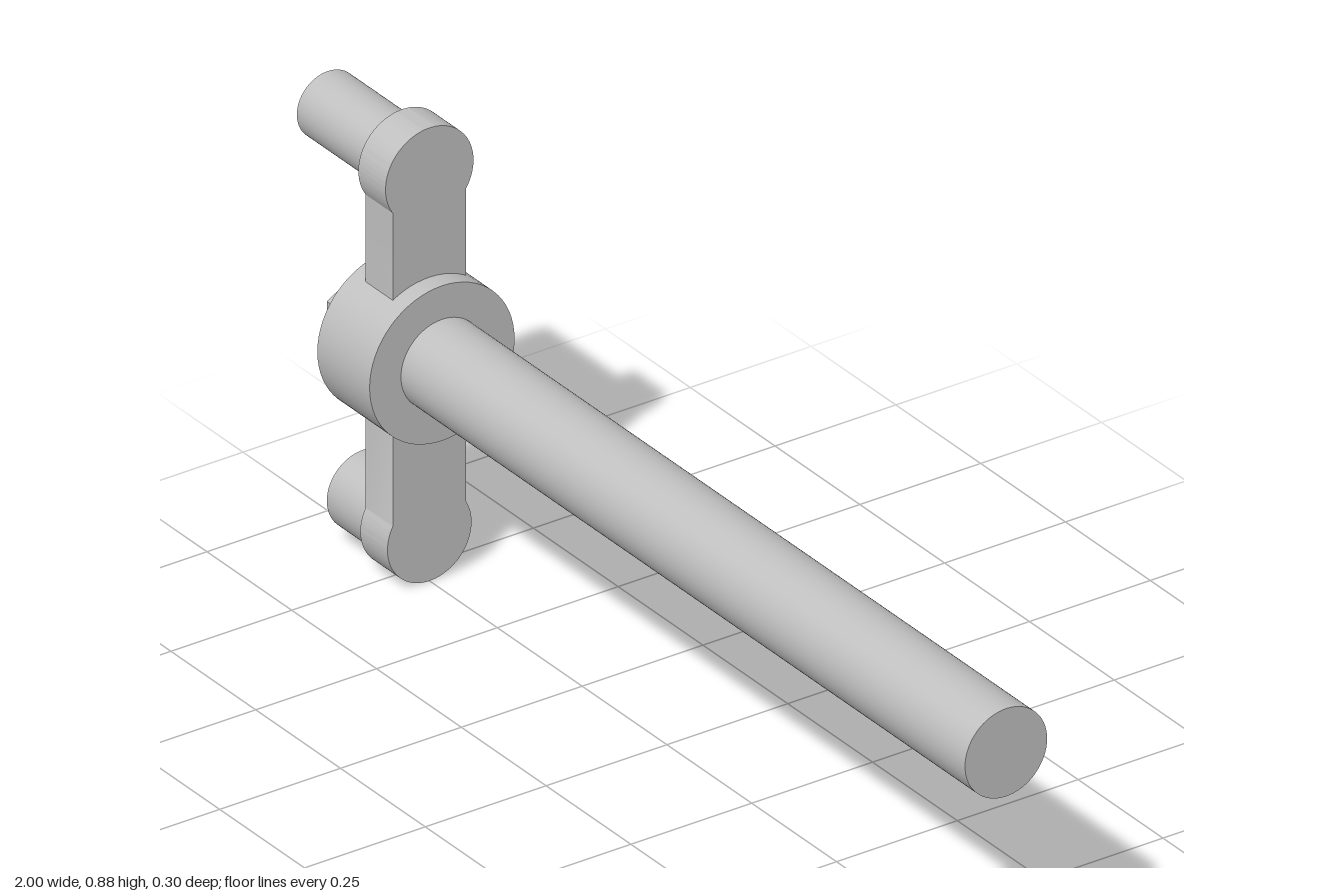
import * as THREE from 'three';
import { toCreasedNormals } from 'three/addons/utils/BufferGeometryUtils.js';

const AXIS_Y = 0.438;

export function createModel() {
  const model = new THREE.Group();
  model.name = 'crankShaft';
  const steel = new THREE.MeshStandardMaterial({ color: 0xbfbfbf });
  steel.name = 'grey steel';

  function add(name, geometry) {
    const mesh = new THREE.Mesh(geometry, steel);
    mesh.name = name;
    model.add(mesh);
  }

  // Round bar lying along x from x0 to x1, centred at height y
  function bar(name, x0, x1, y, radius) {
    const g = new THREE.CylinderGeometry(radius, radius, x1 - x0, 64);
    g.rotateZ(Math.PI / 2).translate((x0 + x1) / 2, y, 0);
    add(name, g);
  }

  bar('shaft', -0.67, 1, AXIS_Y, 0.085);
  bar('hub', -0.817, -0.663, AXIS_Y, 0.15);
  bar('upperPin', -1, -0.78, 0.787, 0.064);
  bar('lowerPin', -0.896, -0.78, 0.09, 0.075);

  // Hexagonal nut with a corner pointing up
  const nut = new THREE.CylinderGeometry(0.102, 0.102, 0.06, 6, 1, false, Math.PI / 6);
  nut.rotateZ(Math.PI / 2).translate(-0.847, AXIS_Y, 0);
  add('hexNut', toCreasedNormals(nut, 0.3));

  // Flat lever with a rounded boss at each end
  const half = 0.076;
  const top = { y: 0.786, r: 0.091 };
  const bottom = { y: 0.087, r: 0.087 };
  const topAngle = Math.acos(half / top.r);
  const bottomAngle = Math.acos(half / bottom.r);
  const outline = new THREE.Shape();
  outline.absarc(0, top.y, top.r, -topAngle, Math.PI + topAngle, false);
  outline.absarc(0, bottom.y, bottom.r, Math.PI - bottomAngle, 2 * Math.PI + bottomAngle, false);
  outline.closePath();
  const lever = new THREE.ExtrudeGeometry(outline, { depth: 0.08, bevelEnabled: false, curveSegments: 40 });
  lever.rotateY(Math.PI / 2).translate(-0.78, 0, 0);
  add('lever', toCreasedNormals(lever, 0.4));

  return model;
}
